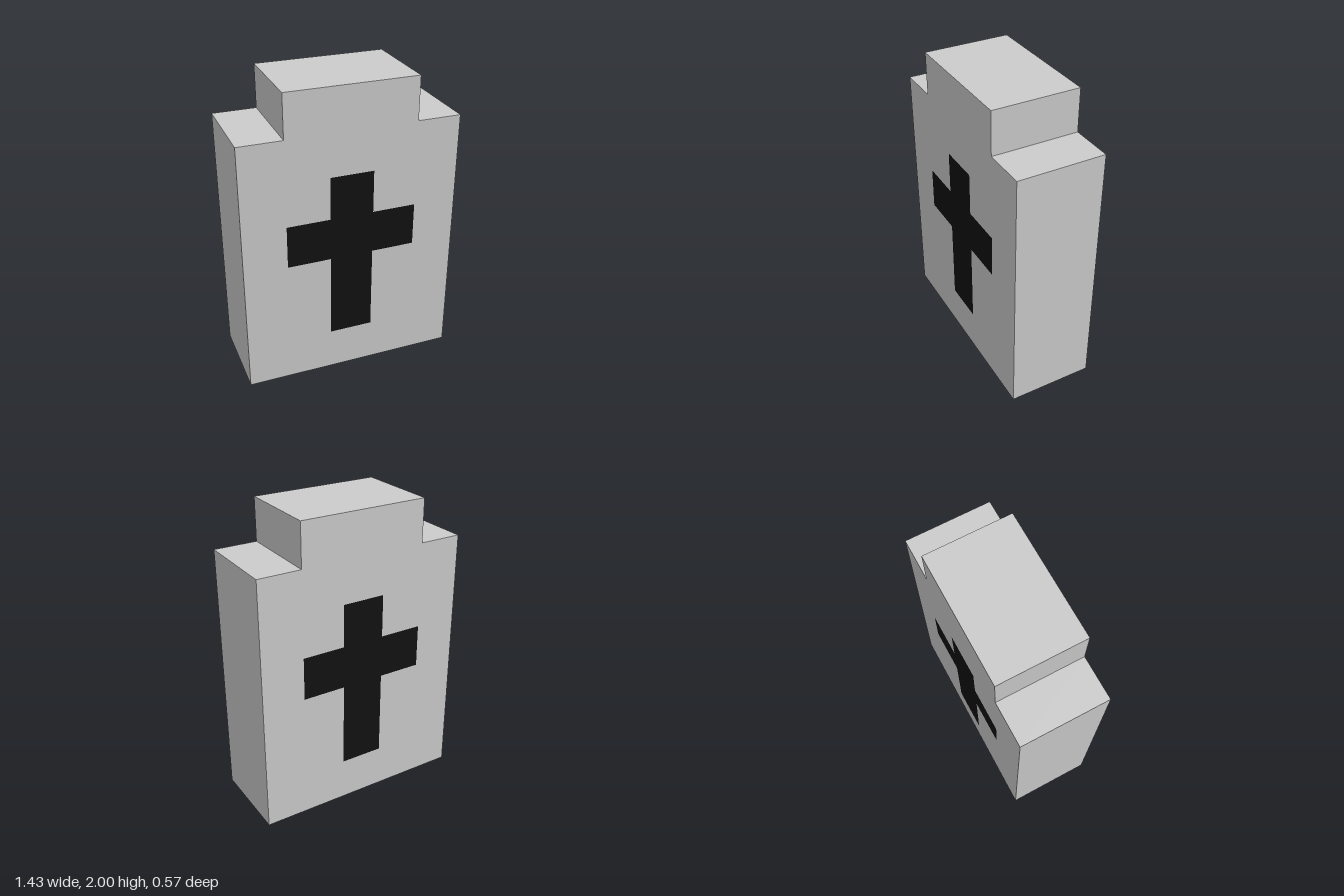
import * as THREE from 'three';

const U = 2 / 7; // block unit: the model is 7 units tall
const DEPTH = 2 * U;

// Closed outline from its right half, mirrored across x = 0
function mirrored(half) {
  const right = half.map(([x, y]) => new THREE.Vector2(x * U, y * U));
  const left = right.map((p) => new THREE.Vector2(-p.x, p.y)).reverse();
  return [...right, ...left];
}

function slab(name, shape, color) {
  const geometry = new THREE.ExtrudeGeometry(shape, { depth: DEPTH, bevelEnabled: false });
  geometry.translate(0, 0, -DEPTH / 2);
  const mesh = new THREE.Mesh(geometry, new THREE.MeshStandardMaterial({ color }));
  mesh.name = name;
  return mesh;
}

export function createModel() {
  const group = new THREE.Group();
  group.name = 'gravestone';

  const crossOutline = mirrored([[0.5, 1], [0.5, 3], [1.5, 3], [1.5, 4], [0.5, 4], [0.5, 5]]);

  // Stepped stone, cut through where the cross sits
  const stone = new THREE.Shape(mirrored([[2.5, 0], [2.5, 6], [1.5, 6], [1.5, 7]]));
  stone.holes.push(new THREE.Path(crossOutline));
  group.add(slab('stone', stone, 0xcccccc));

  // Dark cross, flush with the front and back
  group.add(slab('crossInlay', new THREE.Shape(crossOutline), 0x111111));

  return group;
}
